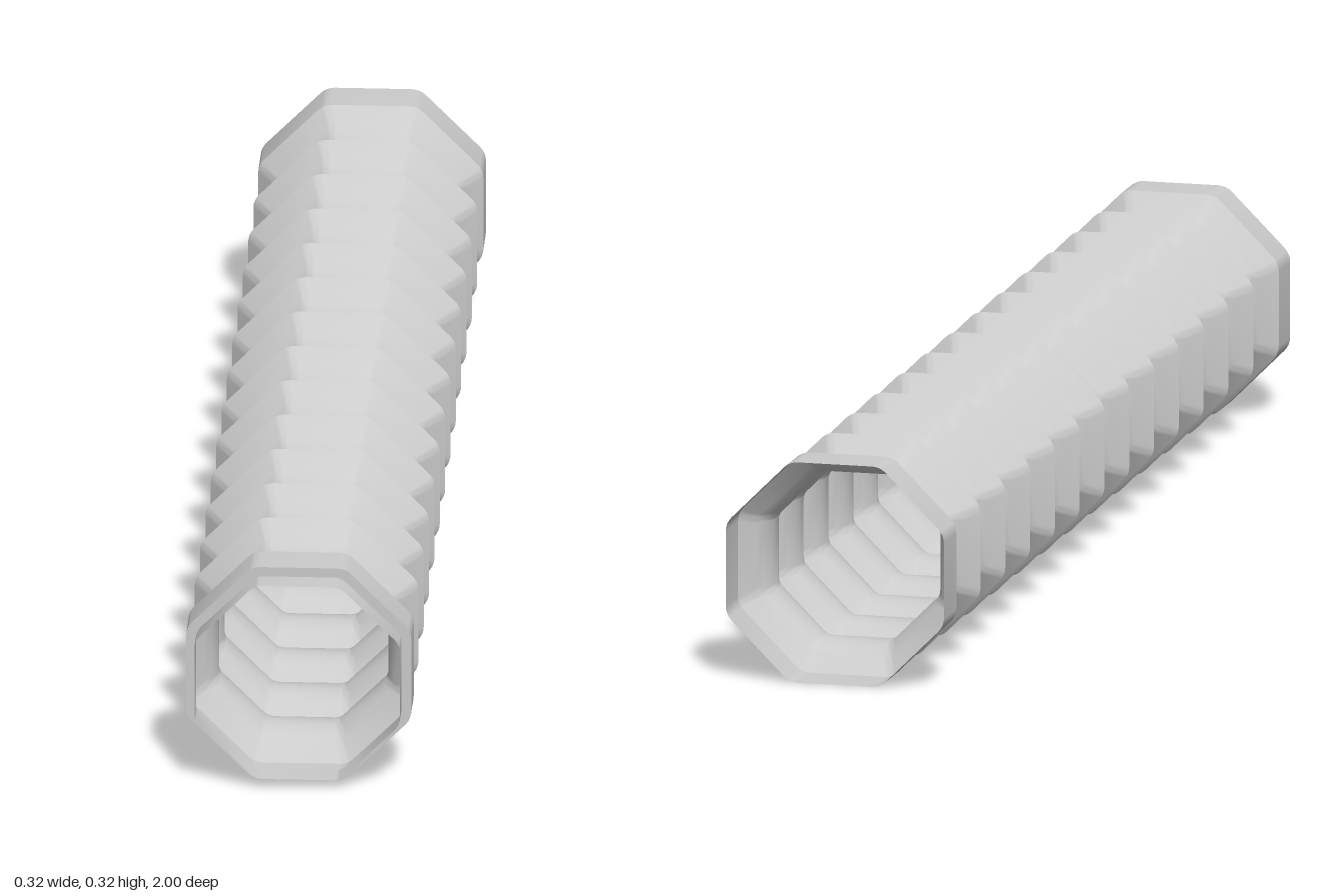
import * as THREE from 'three';
import { toCreasedNormals } from 'three/addons/utils/BufferGeometryUtils.js';

const OUTER = 0.162, RIDGE = 0.161, VALLEY = 0.122, SPIGOT = 0.148;
const BACK = -0.93, FRONT = 0.895, FOLDS = 13;

// Rounded octagon at the given apothem, counter-clockwise seen from +z
function octagon(apothem, steps = 4) {
  const radius = 0.18 * apothem;
  const centre = (apothem - radius) / Math.cos(Math.PI / 8);
  const points = [];
  for (let k = 0; k < 8; k++) {
    const mid = (k + 0.5) * Math.PI / 4;
    for (let s = 0; s <= steps; s++) {
      const a = mid + (s / steps - 0.5) * Math.PI / 4;
      points.push([
        centre * Math.cos(mid) + radius * Math.cos(a),
        centre * Math.sin(mid) + radius * Math.sin(a),
      ]);
    }
  }
  return points;
}

// Thin octagonal shell through a profile of [z, apothem] pairs, back to front
function shell(name, profile, material) {
  const positions = [], index = [];
  let n = 0;
  for (const [z, apothem] of profile) {
    const ring = octagon(apothem);
    n = ring.length;
    for (const [x, y] of ring) positions.push(x, y, z);
  }
  for (let i = 0; i < profile.length - 1; i++) {
    for (let j = 0; j < n; j++) {
      const a = i * n + j, b = i * n + (j + 1) % n;
      index.push(a, b, b + n, a, b + n, a + n);
    }
  }
  const geometry = new THREE.BufferGeometry();
  geometry.setAttribute('position', new THREE.Float32BufferAttribute(positions, 3));
  geometry.setIndex(index);
  const mesh = new THREE.Mesh(toCreasedNormals(geometry, Math.PI / 6), material);
  mesh.name = name;
  return mesh;
}

// Scalloped folds: a round valley running straight up to each sharp ridge
function bellowsProfile() {
  const pitch = (FRONT - BACK) / FOLDS, R = 0.07, slope = 0.73, steps = 8;
  const profile = [[BACK, OUTER]];
  for (let f = 0; f < FOLDS; f++) {
    const mid = BACK + (f + 0.5) * pitch;
    for (let s = 0; s <= steps; s++) {
      const a = (s / steps * 2 - 1) * slope;
      profile.push([mid + R * Math.sin(a), VALLEY + R * (1 - Math.cos(a))]);
    }
    profile.push([mid + pitch / 2, f === FOLDS - 1 ? OUTER : RIDGE]);
  }
  return profile;
}

export function createModel() {
  const material = new THREE.MeshStandardMaterial({ color: 0xcccccc, side: THREE.DoubleSide });
  const hose = new THREE.Group();
  hose.name = 'corrugatedHose';

  // Open socket at the back, folds, then the stepped spigot at the front
  hose.add(
    shell('socket', [[-1, OUTER], [BACK, OUTER]], material),
    shell('bellows', bellowsProfile(), material),
    shell('collar', [[FRONT, OUTER], [0.96, OUTER], [0.96, SPIGOT]], material),
    shell('spigot', [[0.96, SPIGOT], [1, SPIGOT]], material),
  );
  for (const part of hose.children) part.position.y = OUTER;
  return hose;
}
